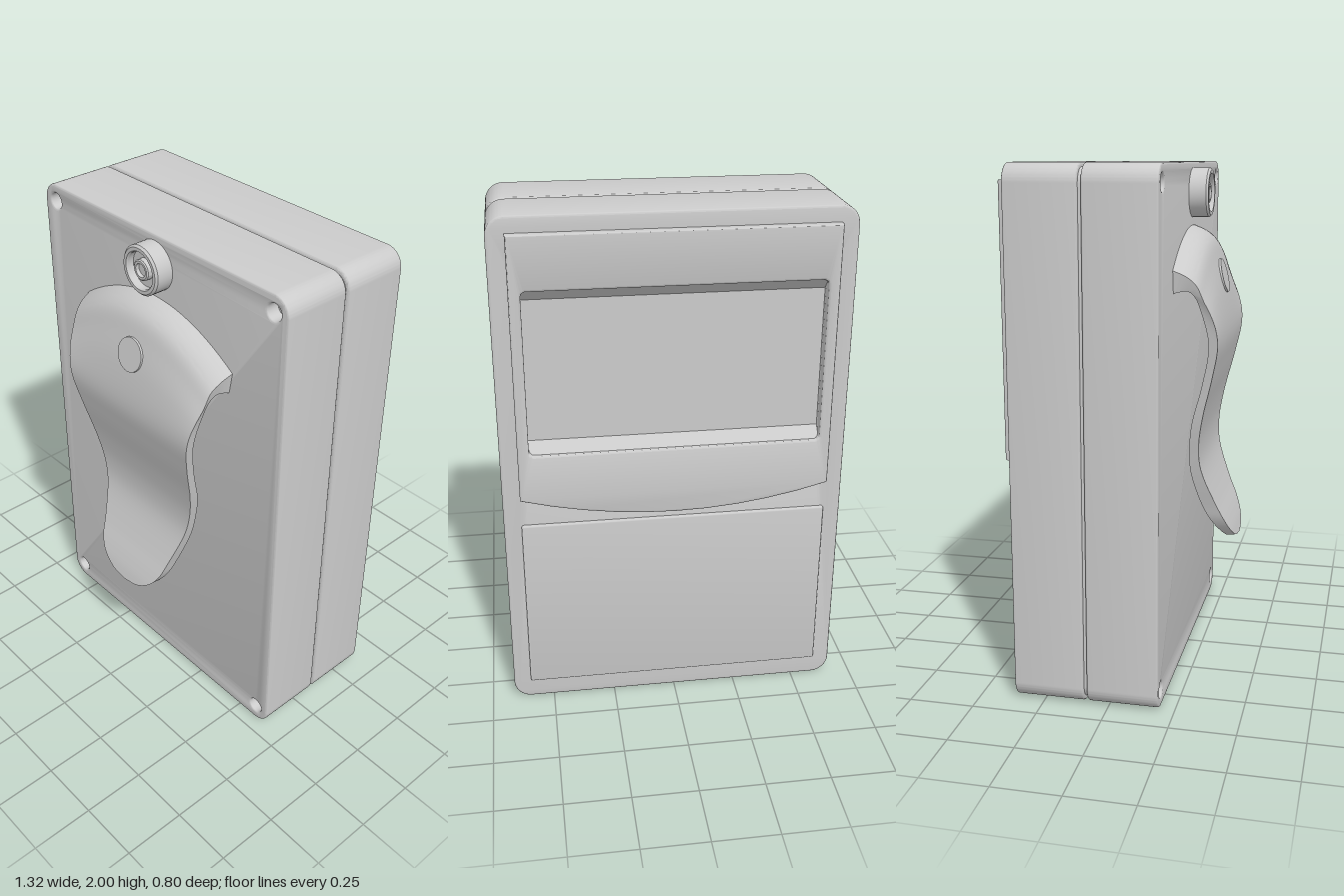
import * as THREE from 'three';
import { toCreasedNormals } from 'three/addons/utils/BufferGeometryUtils.js';

const grey = new THREE.MeshStandardMaterial({ color: 0xcccccc });

function add(parent, name, geometry) {
  const mesh = new THREE.Mesh(geometry, grey);
  mesh.name = name;
  parent.add(mesh);
  return mesh;
}

// Rounded rectangle between two corners
function roundRect(x0, y0, x1, y1, r, Type = THREE.Shape) {
  const s = new Type();
  s.absarc(x1 - r, y0 + r, r, -Math.PI / 2, 0);
  s.absarc(x1 - r, y1 - r, r, 0, Math.PI / 2);
  s.absarc(x0 + r, y1 - r, r, Math.PI / 2, Math.PI);
  s.absarc(x0 + r, y0 + r, r, Math.PI, Math.PI * 1.5);
  s.closePath();
  return s;
}

// Plate of a shape from z0 to z1 with softened edges
function slab(shape, z0, z1, bevel) {
  const g = new THREE.ExtrudeGeometry(shape, {
    depth: z1 - z0 - 2 * bevel, curveSegments: 10,
    bevelEnabled: bevel > 0, bevelThickness: bevel, bevelSize: bevel,
    bevelOffset: -bevel, bevelSegments: 3,
  });
  g.translate(0, 0, z0 + bevel);
  return toCreasedNormals(g, 0.6);
}

// Belt clip: front and back profiles of (half width, y, z) lofted across x
function clipGeometry() {
  const curve = (pts) => new THREE.CatmullRomCurve3(pts.map((p) => new THREE.Vector3(...p)));
  const outer = curve([
    [0.41, 1.76, 0.185], [0.4, 1.735, 0.24], [0.39, 1.7, 0.275], [0.383, 1.62, 0.302],
    [0.368, 1.5, 0.332], [0.345, 1.34, 0.35], [0.32, 1.21, 0.327], [0.293, 1.05, 0.288],
    [0.268, 0.93, 0.27], [0.245, 0.83, 0.276], [0.203, 0.68, 0.33], [0.182, 0.61, 0.362],
    [0.145, 0.56, 0.383], [0.08, 0.52, 0.396], [0, 0.507, 0.4],
  ]);
  const inner = curve([
    [0.395, 1.53, 0.185], [0.39, 1.538, 0.215], [0.385, 1.54, 0.245], [0.378, 1.52, 0.268],
    [0.367, 1.47, 0.288], [0.345, 1.34, 0.316], [0.315, 1.18, 0.288], [0.288, 1.02, 0.245],
    [0.26, 0.9, 0.232], [0.24, 0.81, 0.237], [0.2, 0.67, 0.277], [0.18, 0.605, 0.31],
    [0.145, 0.555, 0.342], [0.08, 0.515, 0.364], [0, 0.502, 0.374],
  ]);
  const N = 71, C = 25;
  const front = outer.getPoints(N - 1), back = inner.getPoints(N - 1).reverse();
  const loop = [...front, ...back], L = loop.length;
  const pos = [], index = [];
  loop.forEach((p, i) => {
    // The top of the front skin follows an arch
    const drop = i < N ? 0.14 * THREE.MathUtils.smoothstep(p.y, 1.3, 1.74) : 0;
    for (let j = 0; j < C; j++) {
      const s = (2 * j) / (C - 1) - 1;
      pos.push(p.x * s, p.y - drop * s * s, p.z);
    }
  });
  const quad = (a, b, c, d) => index.push(a, b, c, a, c, d);
  for (let i = 0; i < L; i++) {
    const k = (i + 1) % L;
    for (let j = 0; j < C - 1; j++) quad(i * C + j, k * C + j, k * C + j + 1, i * C + j + 1);
  }
  // Side walls
  for (let i = 0; i < N - 1; i++) {
    const a = i * C, b = (i + 1) * C, c = (L - 2 - i) * C, d = (L - 1 - i) * C, e = C - 1;
    quad(a + e, b + e, c + e, d + e);
    quad(d, c, b, a);
  }
  const g = new THREE.BufferGeometry();
  g.setAttribute('position', new THREE.Float32BufferAttribute(pos, 3));
  g.setIndex(index);
  return toCreasedNormals(g, 0.6);
}

export function createModel() {
  const model = new THREE.Group();
  model.name = 'clipOnDevice';
  const windowHole = (Type) => roundRect(-0.55, 1.11, 0.55, 1.74, 0.02, Type);

  // Case: two shells around an inset core that shows in the seam
  const frontShape = roundRect(-0.66, 0, 0.66, 2, 0.07);
  for (const x of [-0.593, 0.593]) for (const y of [0.067, 1.933]) {
    const hole = new THREE.Path();
    hole.absarc(x, y, 0.032, 0, Math.PI * 2);
    frontShape.holes.push(hole);
  }
  add(model, 'frontShell', slab(frontShape, -0.08, 0.192, 0.008));
  const backShape = roundRect(-0.66, 0, 0.66, 2, 0.07);
  backShape.holes.push(windowHole(THREE.Path));
  add(model, 'backShell', slab(backShape, -0.362, -0.093, 0.008));
  add(model, 'core', slab(roundRect(-0.645, 0.015, 0.645, 1.985, 0.06), -0.345, 0.14, 0));

  // Window frame with a bowed lower edge
  const frame = new THREE.Shape();
  frame.moveTo(-0.593, 0.925);
  frame.quadraticCurveTo(0, 0.755, 0.593, 0.925);
  frame.lineTo(0.593, 1.94);
  frame.lineTo(-0.593, 1.94);
  frame.closePath();
  frame.holes.push(windowHole(THREE.Path));
  add(model, 'windowFrame', slab(frame, -0.398, -0.352, 0.008));

  // Sloping sills at the top and bottom of the window
  for (const [y, dir, name] of [[1.105, 1, 'lowerSill'], [1.745, -1, 'upperSill']]) {
    const wedge = new THREE.Shape([
      new THREE.Vector2(-0.388, y), new THREE.Vector2(-0.343, y + dir * 0.05), new THREE.Vector2(-0.343, y),
    ]);
    const g = new THREE.ExtrudeGeometry(wedge, { depth: 1.1, bevelEnabled: false });
    g.rotateY(-Math.PI / 2).translate(0.55, 0, 0);
    add(model, name, g);
  }

  // Lower cover plate
  add(model, 'lowerCover', slab(roundRect(-0.593, 0.08, 0.593, 0.805, 0.01), -0.374, -0.35, 0.008));

  // Round socket on the front, with a recess and a centre post
  const profile = [
    [0.095, 0], [0.095, 0.068], [0.087, 0.076], [0.074, 0.076], [0.07, 0.07], [0.07, 0.045],
    [0.04, 0.045], [0.04, 0.066], [0.035, 0.07], [0.026, 0.07], [0.026, 0.055], [0, 0.055],
  ].map(([r, h]) => new THREE.Vector2(r, h));
  const socket = new THREE.LatheGeometry(profile, 40);
  socket.rotateX(Math.PI / 2);
  // A lathe profile that climbs from the outside faces outward
  add(model, 'socket', toCreasedNormals(socket, 0.5)).position.set(0, 1.882, 0.19);

  // Belt clip and its rivet
  add(model, 'beltClip', clipGeometry());
  const rivet = add(model, 'clipRivet', toCreasedNormals(
    new THREE.CylinderGeometry(0.066, 0.07, 0.03, 32).rotateX(Math.PI / 2), 0.5));
  rivet.position.set(0, 1.56, 0.31);
  rivet.rotation.x = -0.24;

  return model;
}
